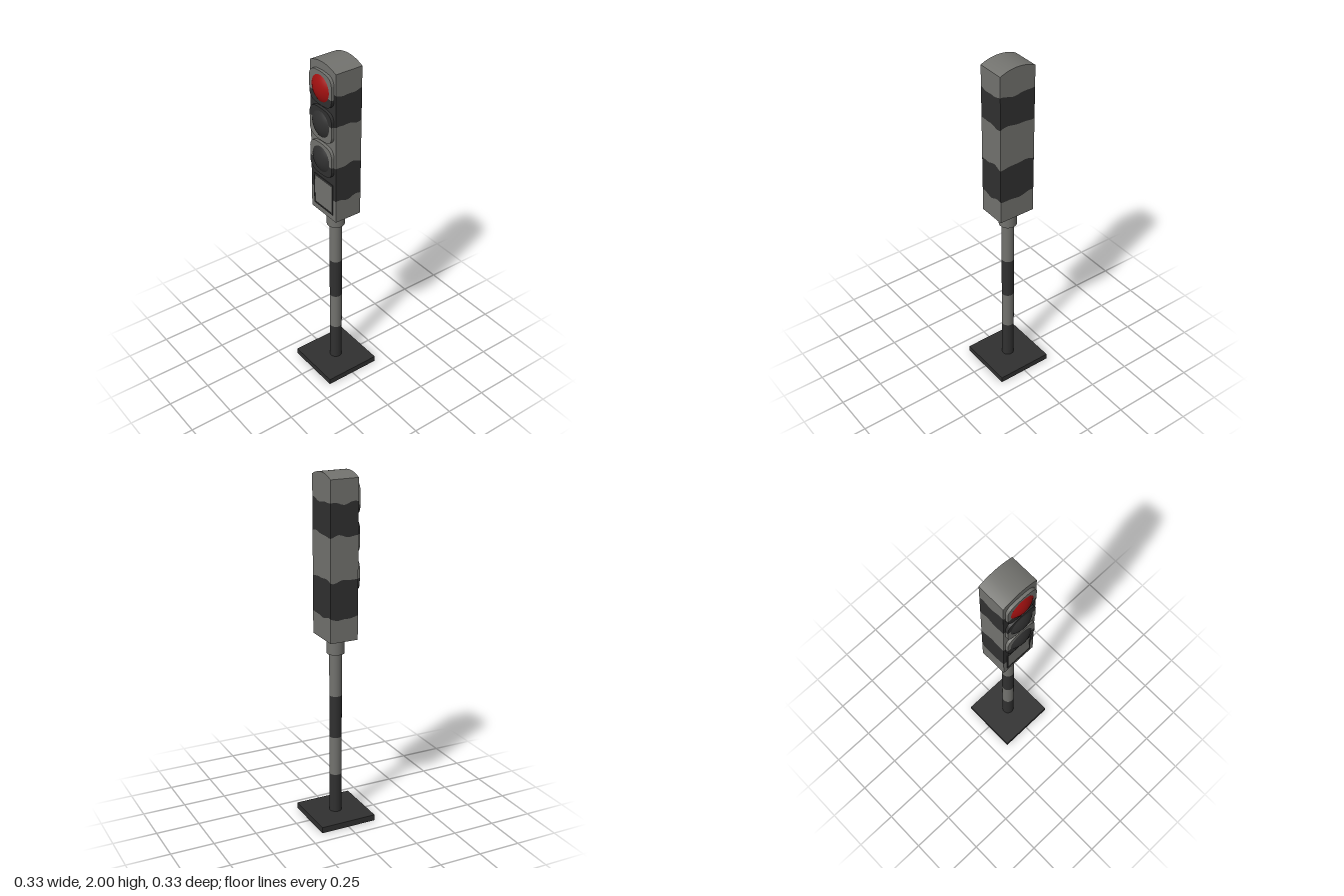
import * as THREE from 'three';

const material = (name, color, side = THREE.FrontSide) => {
  const m = new THREE.MeshStandardMaterial({ color, side });
  m.name = name;
  return m;
};

export function createModel() {
  const model = new THREE.Group();
  model.name = 'trafficLight';
  const grey = material('light grey paint', 0x72726e);
  const dark = material('dark paint', 0x303030);
  const red = material('red lens', 0xa01010);

  const add = (name, geometry, mat, x = 0, y = 0, z = 0) => {
    const mesh = new THREE.Mesh(geometry, mat);
    mesh.name = name;
    mesh.position.set(x, y, z);
    model.add(mesh);
    return mesh;
  };

  // Foot plate, striped pole and collar
  add('footPlate', new THREE.BoxGeometry(0.334, 0.035, 0.334), dark, 0, 0.0175, 0);
  const poleEdges = [0.035, 0.27, 0.5, 0.75, 1.02];
  for (let i = 0; i < 4; i++) {
    const h = poleEdges[i + 1] - poleEdges[i];
    add('poleBand', new THREE.CylinderGeometry(0.035, 0.035, h, 32, 1, true),
      i % 2 ? grey : dark, 0, poleEdges[i] + h / 2, 0);
  }
  add('collar', new THREE.CylinderGeometry(0.05, 0.05, 0.095, 32), grey, 0, 1.0475, 0);

  // Housing walls: bands around a rectangle, with slightly uneven paint edges
  const W = 0.108, back = -0.083, front = 0.08, steps = 10;
  const corners = [[-W, front], [W, front], [W, back], [-W, back], [-W, front]];
  const ring = [];
  for (let s = 0; s < 4; s++) {
    for (let k = 0; k < steps; k++) {
      const t = k / steps;
      ring.push([0, 1].map(a => corners[s][a] + (corners[s + 1][a] - corners[s][a]) * t));
    }
  }
  const edges = [1.095, 1.225, 1.435, 1.675, 1.85, 1.975];
  const edgeY = (e, i) => edges[e] + (e === 0 || e === 5 ? 0
    : 0.006 * Math.sin(i * Math.PI / 5 + e * 2) + 0.004 * Math.sin(i * Math.PI * 0.35 + e));
  for (let e = 0; e < 5; e++) {
    const pos = [];
    ring.forEach(([x0, z0], i) => {
      const j = (i + 1) % ring.length, [x1, z1] = ring[j];
      const a = [x0, edgeY(e, i), z0], b = [x1, edgeY(e, j), z1];
      const c = [x1, edgeY(e + 1, j), z1], d = [x0, edgeY(e + 1, i), z0];
      pos.push(...a, ...b, ...c, ...a, ...c, ...d);
    });
    const g = new THREE.BufferGeometry();
    g.setAttribute('position', new THREE.Float32BufferAttribute(pos, 3));
    g.computeVertexNormals();
    add('housingBand', g, e % 2 ? dark : grey);
  }
  const floor = add('housingFloor', new THREE.PlaneGeometry(2 * W, front - back), grey,
    0, 1.095, (front + back) / 2);
  floor.rotation.x = Math.PI / 2;

  // Shallow arched roof
  const rise = 0.025, R = (W * W + rise * rise) / (2 * rise), half = Math.asin(W / R);
  const roof = new THREE.Shape();
  roof.absarc(0, 2 - R, R, Math.PI / 2 - half, Math.PI / 2 + half, false);
  add('housingRoof', new THREE.ExtrudeGeometry(roof,
    { depth: front - back, bevelEnabled: false, curveSegments: 20 }), grey, 0, 0, back);

  // Half of a rounded lamp surround, from a straight paint edge to its rounded end
  const halfSurround = (yFlat, yEnd) => {
    const w = 0.094, r = 0.05, s = Math.sign(yEnd - yFlat);
    const shape = new THREE.Shape();
    shape.moveTo(-w, yFlat);
    shape.lineTo(w, yFlat);
    shape.lineTo(w, yEnd - s * r);
    shape.quadraticCurveTo(w - 0.006, yEnd - s * 0.008, w - r, yEnd - s * 0.003);
    shape.quadraticCurveTo(0, yEnd + s * 0.003, -w + r, yEnd - s * 0.003);
    shape.quadraticCurveTo(-w + 0.006, yEnd - s * 0.008, -w, yEnd - s * r);
    return new THREE.ExtrudeGeometry(shape, { depth: 0.017, bevelEnabled: false, curveSegments: 8 });
  };

  // Domed lens profile: a spherical cap
  const lensR = 0.073, lensH = 0.023;
  const capR = (lensR * lensR + lensH * lensH) / (2 * lensH), capA = Math.asin(lensR / capR);
  const lens = new THREE.SphereGeometry(capR, 40, 10, 0, Math.PI * 2, 0, capA);
  lens.translate(0, -capR + lensH, 0);
  lens.rotateX(Math.PI / 2);

  // Three lamps: centre, paint edge, upper and lower paint, lens
  const lamps = [
    [1.862, 1.83, grey, dark, red],
    [1.657, 1.675, dark, grey, dark],
    [1.45, 1.435, grey, dark, dark],
  ];
  for (const [y, split, upper, lower, glass] of lamps) {
    add('lampSurroundUpper', halfSurround(split, y + 0.094), upper, 0, 0, front);
    add('lampSurroundLower', halfSurround(split, y - 0.094), lower, 0, 0, front);
    add('lens', lens, glass, 0, y, front + 0.017);
  }

  // Framed panel below the lamps
  const frame = new THREE.Shape();
  frame.moveTo(-0.083, 1.13);
  frame.lineTo(0.083, 1.13);
  frame.lineTo(0.083, 1.32);
  frame.lineTo(-0.083, 1.32);
  const hole = new THREE.Path();
  hole.moveTo(-0.076, 1.139);
  hole.lineTo(-0.076, 1.306);
  hole.lineTo(0.076, 1.306);
  hole.lineTo(0.076, 1.139);
  frame.holes.push(hole);
  add('panelFrame', new THREE.ExtrudeGeometry(frame, { depth: 0.004, bevelEnabled: false }),
    dark, 0, 0, front);
  add('panel', new THREE.BoxGeometry(0.152, 0.167, 0.002), grey, 0, 1.2225, front + 0.001);

  return model;
}
